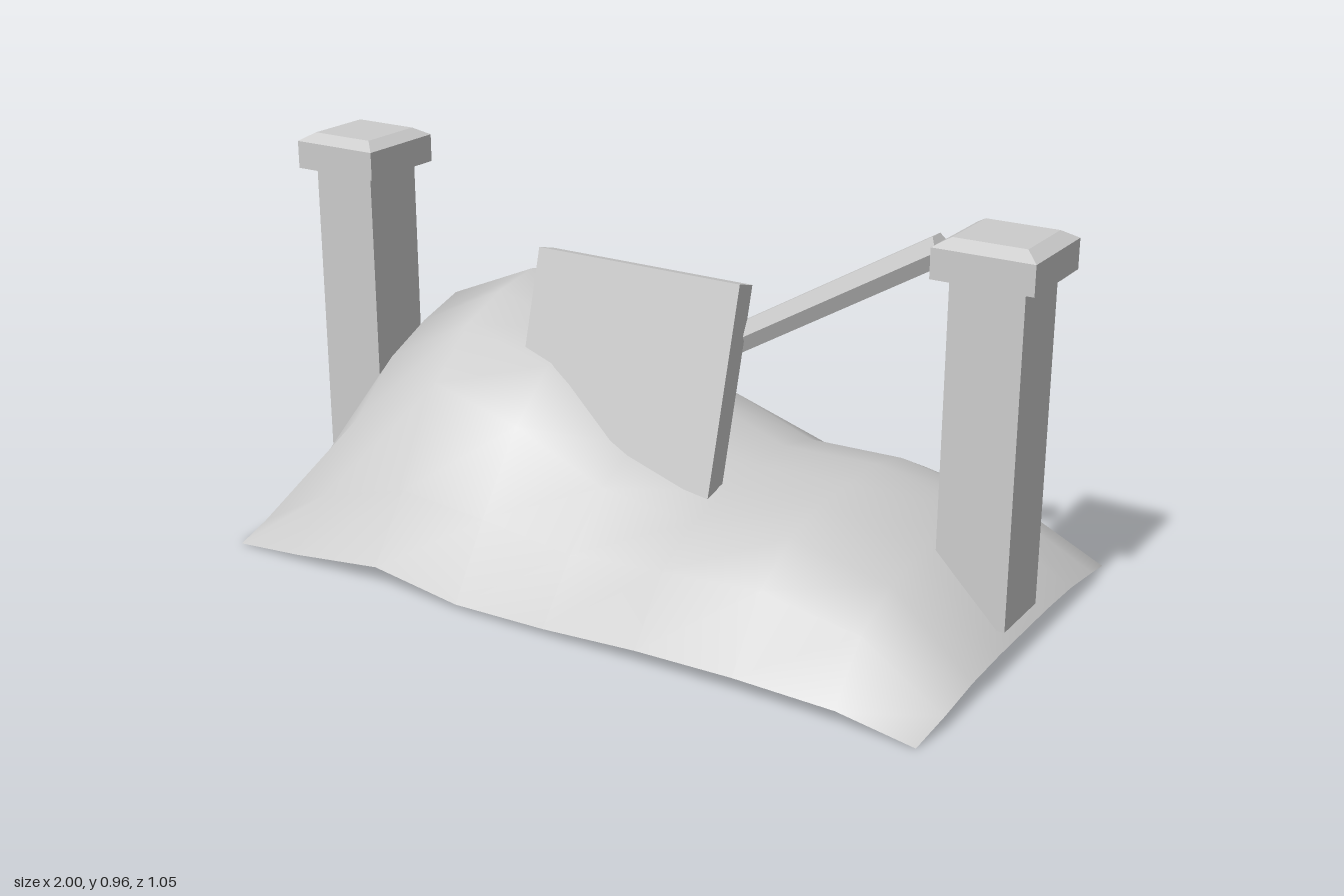
import * as THREE from 'three';

const grey = new THREE.MeshStandardMaterial({ color: 0xcccccc });
const flat = new THREE.MeshStandardMaterial({ color: 0xcccccc, flatShading: true });
const thin = new THREE.MeshStandardMaterial({ color: 0xcccccc, side: THREE.DoubleSide });

function add(parent, name, geometry, material, x = 0, y = 0, z = 0) {
  const mesh = new THREE.Mesh(geometry, material);
  mesh.name = name;
  mesh.position.set(x, y, z);
  parent.add(mesh);
  return mesh;
}

// Open heightfield: rows run back to front, columns along x
function moundGeometry() {
  const xs = [-0.918, -0.71, -0.46, -0.22, 0.03, 0.28, 0.53, 0.78, 0.98];
  const zs = [-0.53, -0.41, -0.275, -0.135, 0, 0.135, 0.275, 0.412, 0.525];
  const heights = [
    [0.03, 0.07, 0.08, 0.06, 0.05, 0.05, 0.05, 0.04, 0.00],
    [0.06, 0.35, 0.41, 0.35, 0.25, 0.20, 0.205, 0.16, 0.03],
    [0.09, 0.51, 0.597, 0.52, 0.36, 0.27, 0.275, 0.22, 0.045],
    [0.09, 0.52, 0.627, 0.56, 0.39, 0.30, 0.308, 0.255, 0.05],
    [0.09, 0.48, 0.605, 0.54, 0.37, 0.295, 0.305, 0.255, 0.05],
    [0.08, 0.42, 0.555, 0.49, 0.34, 0.28, 0.305, 0.25, 0.05],
    [0.05, 0.30, 0.44, 0.38, 0.28, 0.25, 0.275, 0.22, 0.045],
    [0.02, 0.14, 0.21, 0.19, 0.16, 0.18, 0.20, 0.16, 0.03],
    [0.00, 0.02, 0.05, 0.015, 0.02, 0.035, 0.04, 0.035, 0.00],
  ];
  const g = new THREE.PlaneGeometry(2, 1, 8, 8).rotateX(-Math.PI / 2);
  for (let r = 0; r < 9; r++) {
    for (let c = 0; c < 9; c++) {
      // corners are pulled in slightly
      const corner = r % 8 === 0 && c % 8 === 0;
      const x = xs[c] - (corner ? Math.sign(xs[c]) * 0.015 : 0);
      const z = zs[r] - (corner ? Math.sign(zs[r]) * 0.008 : 0);
      g.attributes.position.setXYZ(r * 9 + c, x, heights[r][c], z);
    }
  }
  g.computeVertexNormals();
  return g;
}

// Four-sided frustum for the bevelled top of a cap
function bevelGeometry(bottom, top, height) {
  return new THREE.CylinderGeometry(top * Math.SQRT1_2, bottom * Math.SQRT1_2, height, 4)
    .rotateY(Math.PI / 4);
}

export function createModel() {
  const model = new THREE.Group();
  model.name = 'moundWithPosts';

  add(model, 'mound', moundGeometry(), thin);

  // Posts with square bevelled caps
  for (const side of [-1, 1]) {
    const post = new THREE.Group();
    post.name = side > 0 ? 'leftPost' : 'rightPost';
    post.position.x = side * 0.881;
    add(post, 'shaft', new THREE.BoxGeometry(0.174, 0.79, 0.174), grey, 0, 0.475);
    add(post, 'cap', new THREE.BoxGeometry(0.238, 0.07, 0.238), grey, 0, 0.905);
    add(post, 'capBevel', bevelGeometry(0.238, 0.172, 0.02), flat, 0, 0.95);
    model.add(post);
  }

  // Board leaning back, its lower part sunk through the mound
  const board = new THREE.Group();
  board.name = 'leaningBoard';
  board.position.set(-0.02, 0.755, 0.052);
  board.rotation.x = -0.27;
  add(board, 'board', new THREE.BoxGeometry(0.562, 0.66, 0.06), grey, 0, -0.33, -0.03);
  model.add(board);

  // Six-sided beam running from the left cap down through the mound
  const top = new THREE.Vector3(0.735, 0.903, -0.003);
  const bottom = new THREE.Vector3(-0.57, 0.133, -0.003);
  const length = top.distanceTo(bottom);
  const beam = add(model, 'slantedBeam',
    new THREE.CylinderGeometry(0.038, 0.038, length, 6), flat);
  beam.position.copy(top).add(bottom).multiplyScalar(0.5);
  beam.rotation.z = Math.atan2(top.y - bottom.y, top.x - bottom.x) - Math.PI / 2;

  return model;
}
